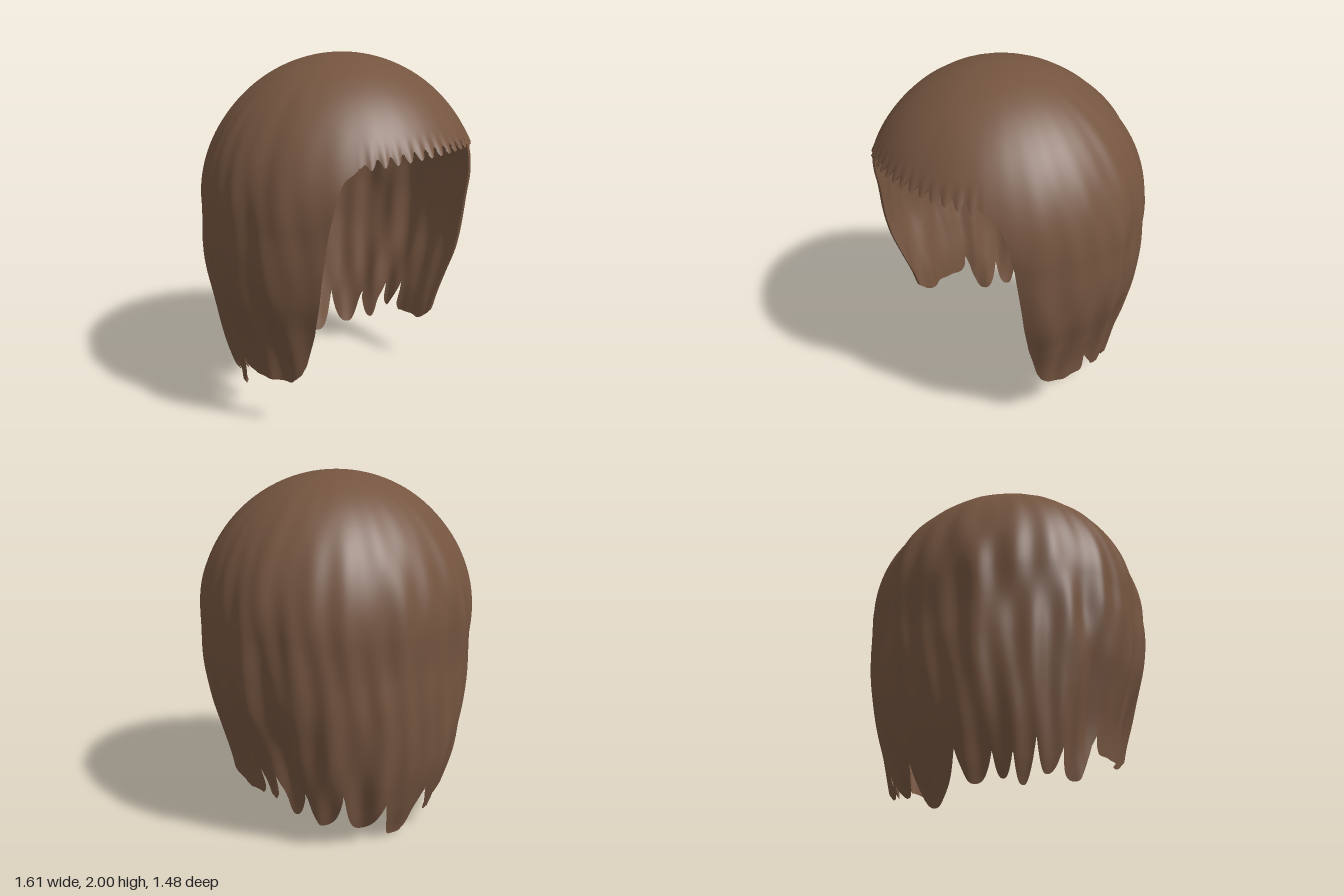
import * as THREE from 'three';

const DEG = Math.PI / 180;
const { lerp, smoothstep, clamp } = THREE.MathUtils;

// Width factors below the dome, every 0.2 from y = 1.2 down to 0
const SIDE = [1, 1, 0.965, 0.89, 0.82, 0.785, 0.76];
const BACK = [1, 0.985, 0.98, 0.955, 0.905, 0.82, 0.725];

// Locks along the hem: [angle, y], alternating notches and rounded tips
const HEM = [
  [90, 0.265], [96, 0.47], [101, 0.27], [107, 0.43], [112, 0.18], [119, 0.35], [128, 0.13],
  [138, 0.33], [148, 0.09], [160, 0.25], [169, 0], [185, 0.27], [194, 0.08], [202, 0.23],
  [207, 0.1], [211, 0.23], [217, 0.07], [221, 0.3], [227, 0.12], [235, 0.28], [243, 0.11],
  [253, 0.37], [262, 0.27],
];

// Front edge of the side hair: [y, angle]
const EDGE = [[0.3, 68], [0.4, 63.5], [0.6, 59], [0.8, 56], [1, 54], [1.2, 52], [1.35, 49.5], [1.44, 47], [1.48, 44.5], [1.5, 41]];

function smoothLookup(table, y) {
  const p = clamp((1.2 - y) / 0.2, 0, table.length - 1);
  const i = Math.min(Math.floor(p), table.length - 2), t = p - i;
  const k = (n) => table[clamp(n, 0, table.length - 1)];
  const m0 = (k(i + 1) - k(i - 1)) / 2, m1 = (k(i + 2) - k(i)) / 2;
  const d = k(i + 1) - k(i);
  return k(i) + m0 * t + (3 * d - 2 * m0 - m1) * t * t + (m0 + m1 - 2 * d) * t ** 3;
}

function edgeAngle(y) {
  if (y <= EDGE[0][0]) return EDGE[0][1];
  for (let i = 1; i < EDGE.length; i++) {
    const [y0, a0] = EDGE[i - 1], [y1, a1] = EDGE[i];
    if (y <= y1) return lerp(a0, a1, (y - y0) / (y1 - y0));
  }
  return 41;
}

function hemHeight(a) {
  const front = Math.min(a, 360 - a);
  if (a <= HEM[0][0] || a >= 262) return 0.27 + 0.07 * clamp((76 - front) / 8, 0, 1) ** 2;
  const i = HEM.findIndex((h) => h[0] >= a);
  const [a0, y0] = HEM[i - 1], [a1, y1] = HEM[i];
  const t = (a - a0) / (a1 - a0);
  return y0 < y1 ? lerp(y0, y1, t ** 2.6) : lerp(y1, y0, (1 - t) ** 2.6);
}

const fringeHeight = (a) => 1.55 - 0.035 * (a / 41) ** 2 + 0.045 * (Math.abs(Math.cos(32.5 * a * DEG)) ** 3 - 0.4) * smoothstep(41 - Math.abs(a), 0, 5);

// Point of the hair surface at an angle from the front (degrees) and a height
function surface(a, y) {
  const r = a * DEG, c = Math.cos(r);
  const h = Math.max(0, (y - 1.2) / 0.8);
  const dome = Math.sqrt(Math.max(0, 1 - h * h));
  const w = smoothstep(-c, 0.2, 0.95);
  let s = y >= 1.2 ? dome : lerp(smoothLookup(SIDE, y), smoothLookup(BACK, y), w);
  // Hair beside the face is drawn in
  s -= 0.035 * smoothstep(c, 0.3, 0.65) * (1 - smoothstep(y, 1, 1.45));
  // Flowing strands, stronger on the lower sides and back
  const drift = 0.35 * Math.sin(4.5 * y + 2 * r);
  const depth = 0.012 * (1 - smoothstep(y, 0.9, 1.9)) + 0.003 * dome;
  const calm = lerp(0.25, 1, smoothstep(-c, -0.75, -0.1));
  s += depth * calm * (0.75 * Math.sin(19 * r + 4 * drift) + 0.4 * Math.sin(31 * r - 5 * drift + 1) + 0.7 * Math.sin(11 * r + 3 * drift + 2));
  // Fine locks of the fringe
  s -= 0.007 * smoothstep(c, 0.74, 0.85) * (1 - smoothstep(y, 1.5, 1.66)) * Math.cos(65 * r);
  return new THREE.Vector3(0.798 * s * Math.sin(r), y, s * c * (c > 0 ? 0.81 : 0.735) + 0.025 * (1 - dome));
}

function surfaceNormal(a, y) {
  if (y > 1.9995) return new THREE.Vector3(0, 1, 0);
  const e = Math.min(0.004, (2 - y) * 0.4);
  const across = surface(a + 0.3, y).sub(surface(a - 0.3, y));
  const up = surface(a, y + e).sub(surface(a, y - e));
  return across.cross(up).normalize();
}

// Rows run from the crown (v = -1) over the dome to y = 1.6 (v = 0), then to the hem (v = 1)
const CROWN_ROWS = 24;
const rowHeight = (v, hem) => (v < 0 ? 1.2 + 0.8 * Math.cos((1 + v) * 60 * DEG) : lerp(1.6, hem, v));

// Grid of hair; place(u, v) gives [angle, y, inward tuck]
function hairPatch(name, cols, rows, place, material) {
  const pos = [], nor = [], index = [];
  for (let i = -CROWN_ROWS; i <= rows; i++) {
    for (let j = 0; j <= cols; j++) {
      const [a, y, tuck] = place(j / cols, i < 0 ? i / CROWN_ROWS : i / rows);
      const n = surfaceNormal(a, y);
      const p = surface(a, y);
      p.x -= n.x * tuck;
      p.z -= n.z * tuck;
      pos.push(p.x, p.y, p.z);
      nor.push(n.x, n.y, n.z);
      if (i < rows && j < cols) {
        const k = (i + CROWN_ROWS) * (cols + 1) + j, b = k + cols + 1;
        index.push(k, b, b + 1, k, b + 1, k + 1);
      }
    }
  }
  const g = new THREE.BufferGeometry();
  g.setAttribute('position', new THREE.Float32BufferAttribute(pos, 3));
  g.setAttribute('normal', new THREE.Float32BufferAttribute(nor, 3));
  g.setIndex(index);
  const mesh = new THREE.Mesh(g, material);
  mesh.name = name;
  return mesh;
}

export function createModel() {
  const group = new THREE.Group();
  group.name = 'wig';
  const hair = new THREE.MeshStandardMaterial({ color: 0x755540, side: THREE.DoubleSide });
  hair.name = 'brown hair';

  // Fringe: front wedge of the dome, cut short and jagged
  group.add(hairPatch('fringe', 200, 10, (u, v) => {
    const a = lerp(-41, 41, u);
    return [a, rowHeight(v, fringeHeight(a)), v === 1 ? 0.01 : 0];
  }, hair));

  // Long sides and back, ending in separate locks
  group.add(hairPatch('sidesAndBack', 480, 56, (u, v) => {
    const y = rowHeight(v, hemHeight(lerp(68, 292, u)));
    const e = edgeAngle(y);
    const rim = (u === 0 || u === 1) && y < 1.47;
    return [lerp(e, 360 - e, u), y, rim || v === 1 ? 0.015 : 0];
  }, hair));

  return group;
}
